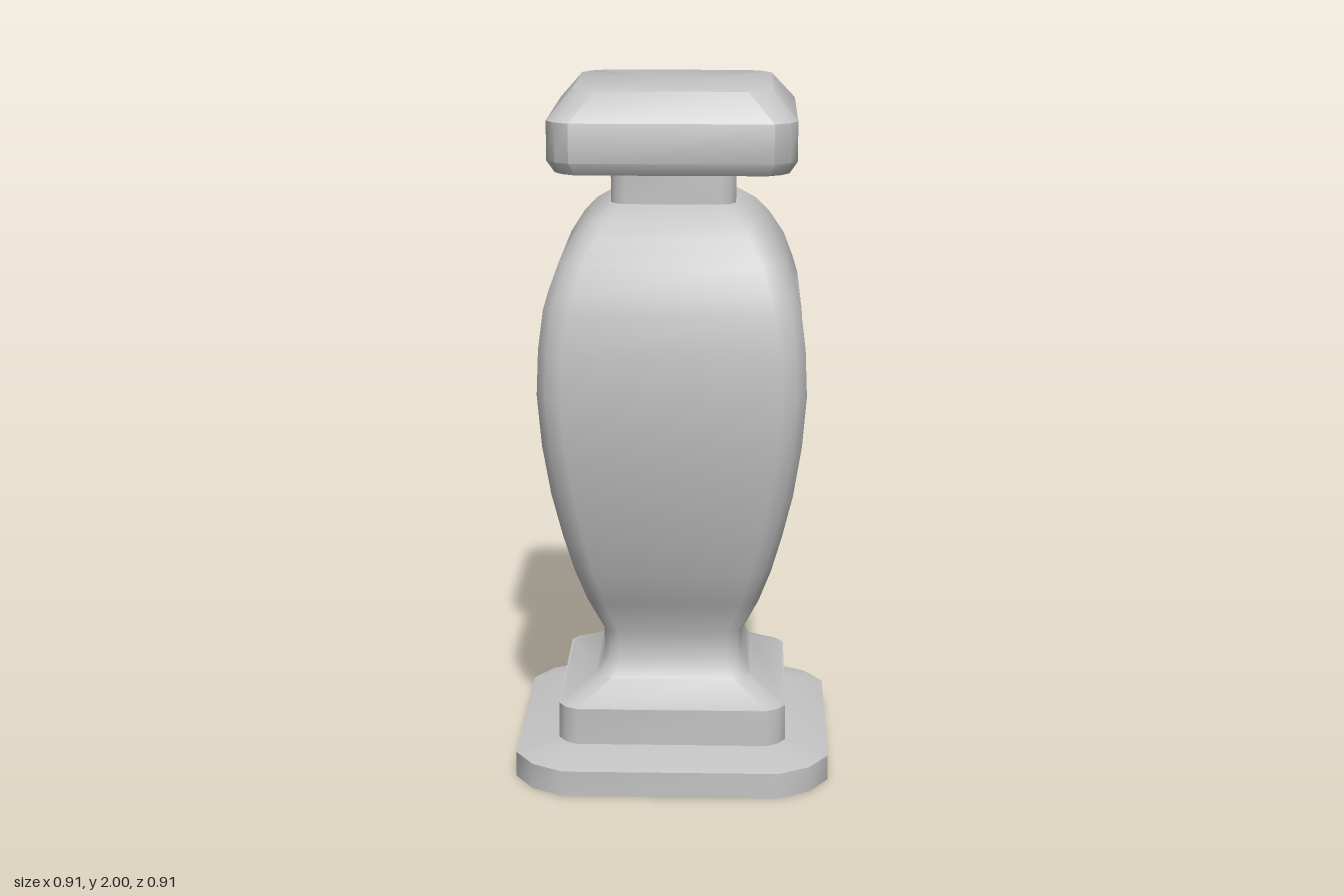
import * as THREE from 'three';
import { toCreasedNormals } from 'three/addons/utils/BufferGeometryUtils.js';

const stone = new THREE.MeshStandardMaterial({ color: 0xc4c4c4 });
stone.name = 'stone grey';

// Recess rows: [outer y, outer half width, inner half width]
const RECESS = [
  [0.51, 0.065, 0.035], [0.61, 0.105, 0.075], [0.72, 0.14, 0.105],
  [0.85, 0.171, 0.132], [1.0, 0.194, 0.151], [1.15, 0.205, 0.16],
  [1.28, 0.204, 0.16], [1.39, 0.198, 0.155], [1.44, 0.17, 0.13],
];
const DEPTH = 0.065;
const innerY = (y) => 0.59 + (y - 0.51) * (0.785 / 0.93);

// Half width of a profile at height y
function widthAt(rows, y) {
  for (let i = 1; i < rows.length; i++) {
    const [y0, h0] = rows[i - 1], [y1, h1] = rows[i];
    if (y <= y1) return h0 + ((h1 - h0) * (y - y0)) / (y1 - y0);
  }
  return rows[rows.length - 1][1];
}

// Square column with rounded corners; rows are [y, half width, corner size].
// Sides are numbered 0 front, 1 left, 2 back, 3 right.
function column(name, rows, recessed = []) {
  const pos = [];
  for (let k = 0; k < 4; k++) {
    const c = [1, 0, -1, 0][k], s = [0, 1, 0, -1][k];
    const tri = (...pts) => pts.forEach(([u, y, n]) => pos.push(u * c + n * s, y, n * c - u * s));
    const quad = (bl, br, tr, tl) => { tri(bl, br, tr); tri(bl, tr, tl); };

    // Right half-edge of a side: flat end, corner middle, start of next side
    const edge = ([y, h, cut]) => {
      const f = h - cut, m = f + cut * 0.62;
      return [[-f, y, h], [f, y, h], [m, y, m], [h, y, f]];
    };
    // Matching outer and inner recess points
    const rim = ([y, o, i]) => {
      const yi = innerY(y), n = widthAt(rows, yi) - DEPTH, h = widthAt(rows, y);
      return { ol: [-o, y, h], or: [o, y, h], il: [-i, yi, n], ir: [i, yi, n] };
    };

    for (let r = 1; r < rows.length; r++) {
      const a = edge(rows[r - 1]), b = edge(rows[r]);
      const i = RECESS.findIndex((q) => q[0] === rows[r][0]);
      if (recessed.includes(k) && i > 0) {
        const p = rim(RECESS[i - 1]), q = rim(RECESS[i]);
        quad(a[0], p.ol, q.ol, b[0]);
        quad(p.or, a[1], b[1], q.or);
        quad(p.ol, p.il, q.il, q.ol);
        quad(p.ir, p.or, q.or, q.ir);
        quad(p.il, p.ir, q.ir, q.il);
        if (i === 1) quad(p.ol, p.or, p.ir, p.il);
        if (i === RECESS.length - 1) quad(q.il, q.ir, q.or, q.ol);
      } else {
        quad(a[0], a[1], b[1], b[0]);
      }
      for (let j = 1; j < 3; j++) quad(a[j], a[j + 1], b[j + 1], b[j]);
    }
    // End caps
    const lo = edge(rows[0]), hi = edge(rows[rows.length - 1]);
    for (let j = 0; j < 3; j++) {
      tri([0, lo[0][1], 0], lo[j + 1], lo[j]);
      tri([0, hi[0][1], 0], hi[j], hi[j + 1]);
    }
  }
  const geo = new THREE.BufferGeometry();
  geo.setAttribute('position', new THREE.Float32BufferAttribute(pos, 3));
  const mesh = new THREE.Mesh(toCreasedNormals(geo, 0.78), stone);
  mesh.name = name;
  return mesh;
}

export function createModel() {
  const model = new THREE.Group();
  model.name = 'baluster';
  model.add(
    column('base', [[0, 0.455, 0.145], [0.075, 0.455, 0.145], [0.11, 0.33, 0.06]]),
    column('plinth', [[0.11, 0.33, 0.055], [0.217, 0.33, 0.055]]),
    // Flared foot and vase-shaped body, with recessed panels on two sides
    column('body', [
      [0.217, 0.325, 0.05], [0.275, 0.225, 0.045], [0.325, 0.2025, 0.045],
      [0.41, 0.2025, 0.045], [0.51, 0.25, 0.055], [0.61, 0.285, 0.06],
      [0.72, 0.315, 0.065], [0.85, 0.345, 0.07], [1.0, 0.368, 0.07],
      [1.15, 0.38, 0.07], [1.28, 0.375, 0.07], [1.39, 0.361, 0.07],
      [1.44, 0.347, 0.07], [1.52, 0.318, 0.065], [1.59, 0.275, 0.06],
      [1.635, 0.235, 0.05], [1.672, 0.18, 0.04],
    ], [1, 2]),
    column('neck', [[1.67, 0.177, 0.04], [1.78, 0.177, 0.04]]),
    column('cap', [
      [1.775, 0.325, 0.06], [1.81, 0.347, 0.065],
      [1.92, 0.347, 0.065], [2, 0.278, 0.068],
    ]),
  );
  return model;
}
